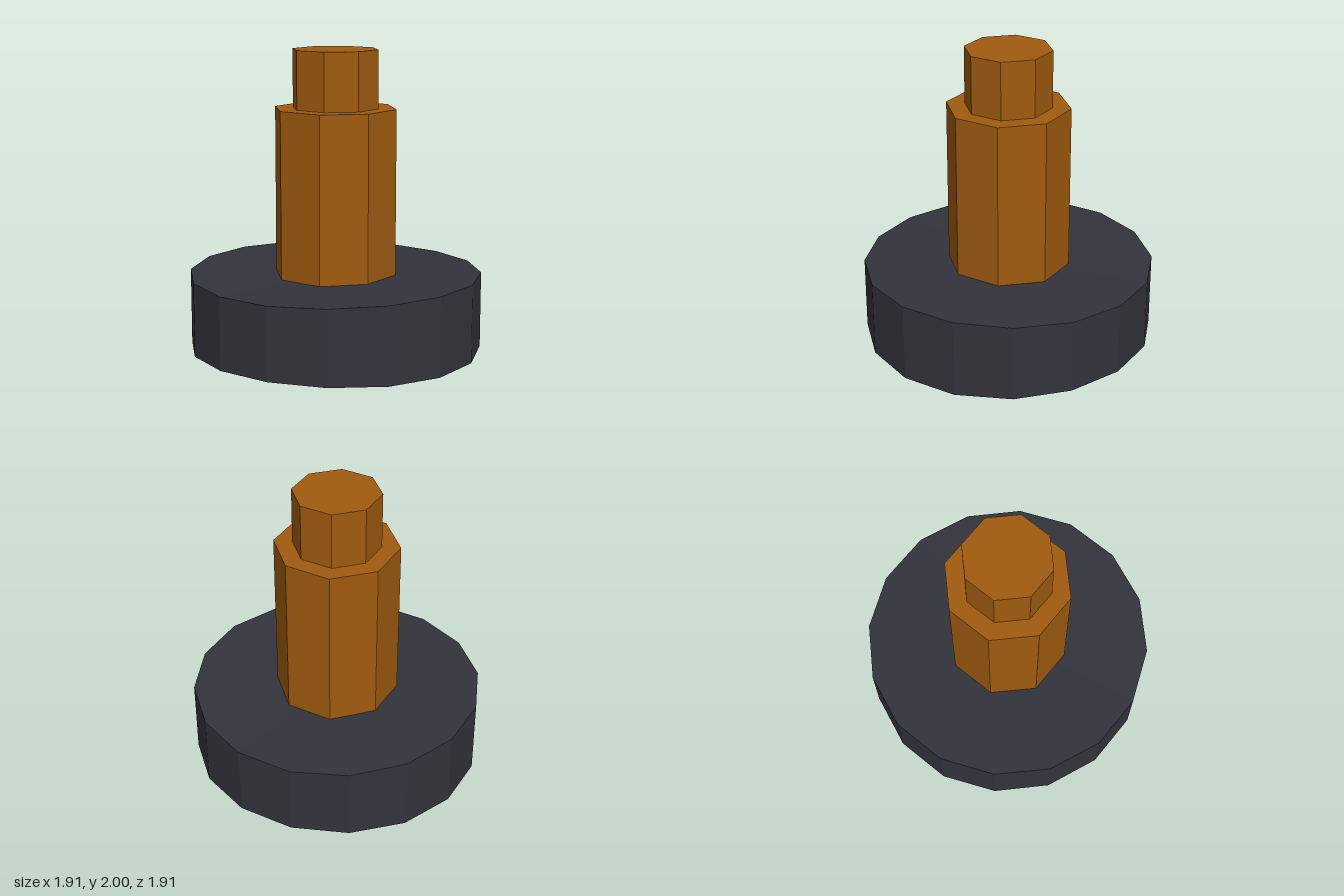
import * as THREE from 'three';

const charcoal = new THREE.MeshStandardMaterial({ color: 0x33333c, flatShading: true, side: THREE.DoubleSide });
charcoal.name = 'charcoal';
const brown = new THREE.MeshStandardMaterial({ color: 0xa05b0f, flatShading: true, side: THREE.DoubleSide });
brown.name = 'warm brown';

const BASE_RADIUS = 0.975;
const SIDES = 16;

function addMesh(group, name, geometry, material) {
  const mesh = new THREE.Mesh(geometry, material);
  mesh.name = name;
  group.add(mesh);
}

// The rim is slightly taller at the front and back than at the sides
function warpRim(geometry) {
  const p = geometry.attributes.position;
  for (let i = 0; i < p.count; i++) {
    const t = (p.getZ(i) / BASE_RADIUS) ** 2;
    p.setY(i, p.getY(i) > 0.25 ? 0.505 + 0.018 * t : 0.025 * (1 - t));
  }
  geometry.computeVertexNormals();
  return geometry;
}

// Eight-sided column with a flat top and an open underside
function octagonColumn(apothem, bottom, top) {
  const r = apothem / Math.cos(Math.PI / 8);
  const profile = [[r, bottom], [r, top], [0, top]].map(([x, y]) => new THREE.Vector2(x, y));
  return new THREE.LatheGeometry(profile, 8, Math.PI / 8);
}

export function createModel() {
  const model = new THREE.Group();
  model.name = 'postOnRoundBase';

  // Base: thin hollow drum, open below
  const base = new THREE.Group();
  base.name = 'base';
  const wall = new THREE.CylinderGeometry(BASE_RADIUS, BASE_RADIUS, 0.5, SIDES, 1, true, Math.PI / SIDES);
  wall.translate(0, 0.25, 0);
  addMesh(base, 'baseWall', warpRim(wall), charcoal);
  const lid = new THREE.CircleGeometry(BASE_RADIUS, SIDES, Math.PI / SIDES);
  lid.rotateX(-Math.PI / 2).translate(0, 0.5, 0);
  addMesh(base, 'baseLid', warpRim(lid), charcoal);
  model.add(base);

  // Stepped post
  addMesh(model, 'shaft', octagonColumn(0.38, 0.505, 1.615), brown);
  addMesh(model, 'tip', octagonColumn(0.267, 1.615, 2), brown);
  return model;
}
